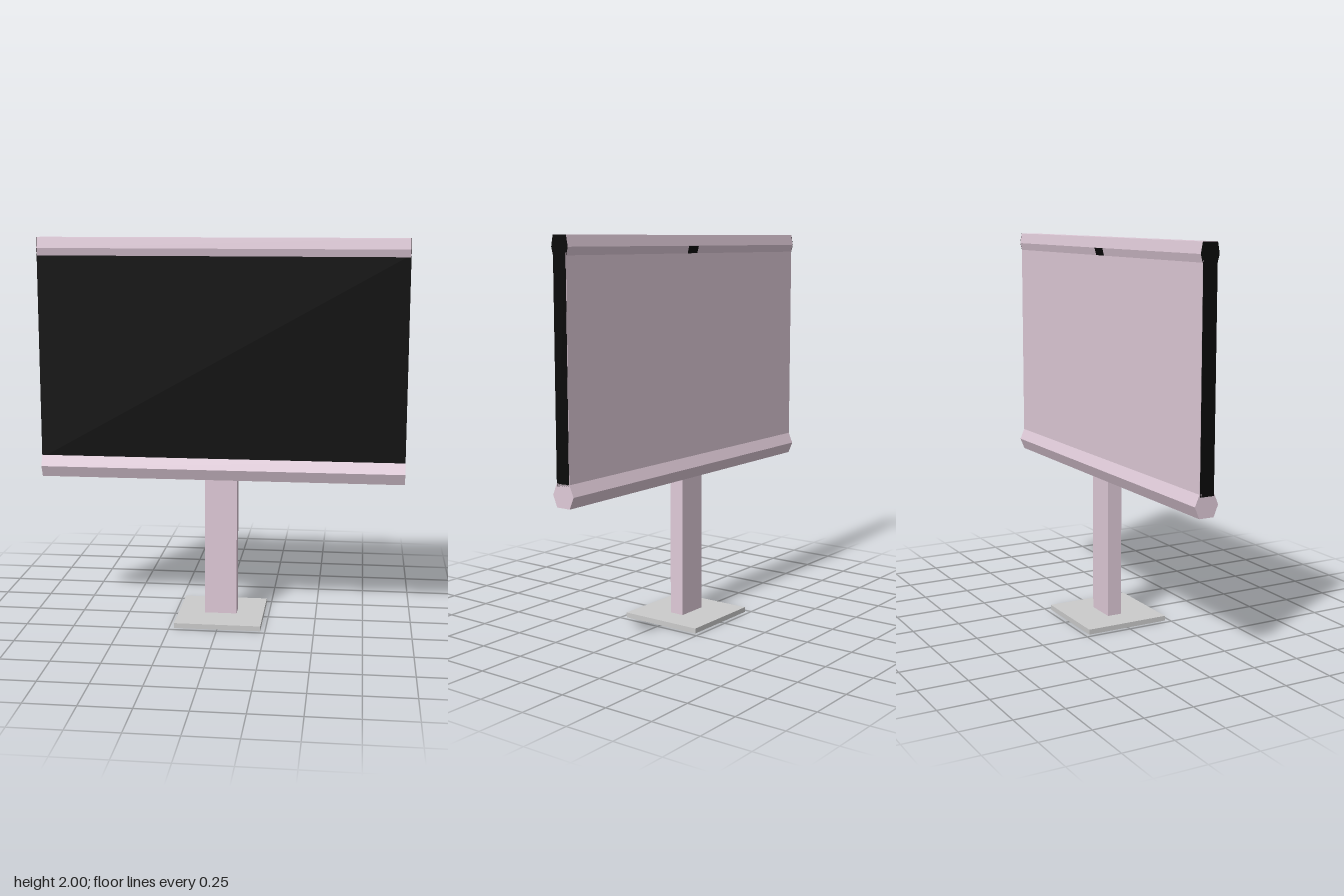
import * as THREE from 'three';

const material = (color) => new THREE.MeshStandardMaterial({ color, flatShading: true });

export function createModel() {
  const model = new THREE.Group();
  model.name = 'monitor';
  const pink = material(0xdfcad8);
  const black = material(0x0a0a0a);
  const grey = material(0xcccccc);
  const W = 1.9; // display width

  const add = (name, geometry, mat, x, y, z) => {
    const mesh = new THREE.Mesh(geometry, mat);
    mesh.name = name;
    mesh.position.set(x, y, z);
    model.add(mesh);
    return mesh;
  };
  const box = (name, mat, w, h, d, x, y, z) =>
    add(name, new THREE.BoxGeometry(w, h, d), mat, x, y, z);

  // Six-sided bar along x: edge depth at top and bottom, wider at the middle
  const rail = (name, mat, length, x, bottom, middle, top, edge, wide) => {
    const shape = new THREE.Shape([
      [-edge, bottom], [edge, bottom], [wide, middle],
      [edge, top], [-edge, top], [-wide, middle],
    ].map(([z, y]) => new THREE.Vector2(-z, y)));
    const geometry = new THREE.ExtrudeGeometry(shape, { depth: length, bevelEnabled: false });
    geometry.translate(0, 0, -length / 2).rotateY(Math.PI / 2);
    add(name, geometry, mat, x, 0, 0);
  };

  // Stand
  box('base', grey, 0.45, 0.026, 0.45, 0, 0.013, 0);
  box('post', pink, 0.168, 0.75, 0.078, 0, 0.4, 0);

  // Display panel with its back cover
  box('screen', black, W, 1.07, 0.076, 0, 1.385, 0.001);
  box('backCover', pink, W, 1.07, 0.002, 0, 1.385, -0.038);

  // Rails along the top and bottom edges, dark caps on the top one
  rail('bottomRail', pink, W, 0, 0.75, 0.808, 0.864, 0.039, 0.063);
  rail('topRail', pink, W - 0.004, 0, 1.908, 1.946, 2, 0.039, 0.049);
  for (const side of [-1, 1]) {
    rail(side > 0 ? 'leftEndCap' : 'rightEndCap', black, 0.002,
      side * (W / 2 - 0.001), 1.908, 1.946, 2, 0.039, 0.049);
  }

  // Small dark window on the lower slope of the top rail, at the back
  const sensor = box('rearSensor', black, 0.08, 0.038, 0.003, 0, 1.927, -0.0445);
  sensor.rotation.x = -Math.atan2(0.01, 0.038);

  return model;
}
